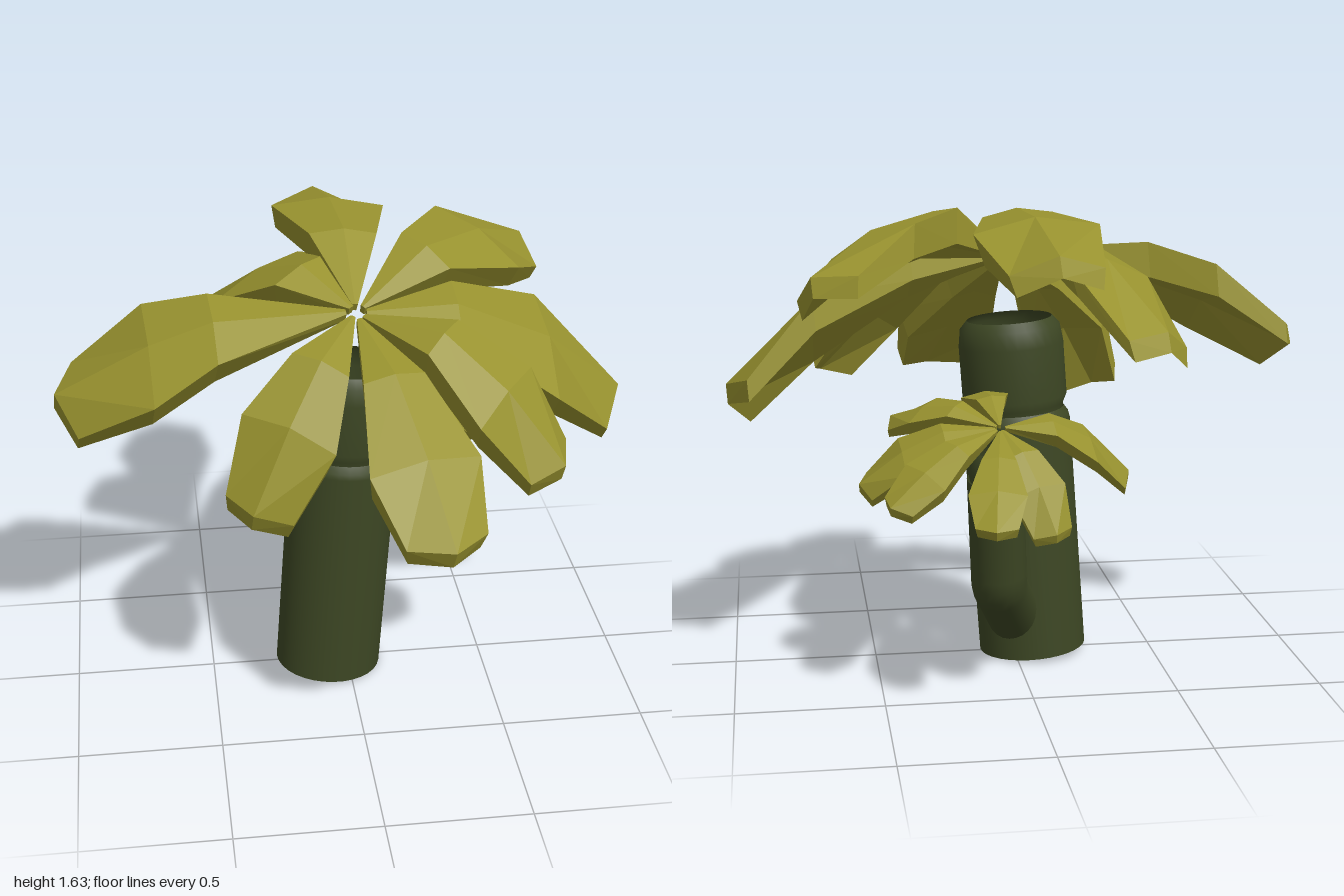
import * as THREE from 'three';

const leafMat = new THREE.MeshStandardMaterial({ color: 0x98922f, flatShading: true });
leafMat.name = 'olive leaf';
const barkMat = new THREE.MeshStandardMaterial({ color: 0x3d4724, side: THREE.DoubleSide });
barkMat.name = 'dark green bark';

// A thick ridged leaf running along +x, with chevron cross-sections and a blunt pointed tip
function leafGeometry(length, tipY, width, arch, bend) {
  // Stations: [share of length, share of width, lift, thickness, underside width, how far the edges lag]
  const stations = [
    [0.035, 0.05, 0, 0.03, 0.8, 0],
    [bend, 0.2 + bend, arch, 0.12, 0.8, 0],
    [0.69, 1, arch * 0.7, 0.11, 0.88, 0],
    [1, 0.73, 0, 0.07, 0.9, 0.07],
  ];
  const pos = [], index = [], n = 6, last = (stations.length - 1) * n;
  for (const [t, ws, lift, th, under, lag] of stations) {
    const x = t * length, y = tipY * t * t + lift, w = ws * width, d = w * 0.2, u = w * under;
    const ring = [[y, 0], [y - d, w], [y - d - th, u], [y - th, 0], [y - d - th, -u], [y - d, -w]];
    for (const [py, pz] of ring) pos.push(pz === 0 ? x : x - lag * length, py, pz);
  }
  for (let i = 0; i < last; i += n) {
    for (let j = 0; j < n; j++) {
      const a = i + j, b = i + (j + 1) % n;
      index.push(a, b, b + n, a, b + n, a + n);
    }
  }
  // End caps fan out from the underside crease
  for (let k = 1; k < n - 1; k++) {
    const p = (3 + k) % n, q = (4 + k) % n;
    index.push(3, q, p, last + 3, last + p, last + q);
  }
  const g = new THREE.BufferGeometry();
  g.setAttribute('position', new THREE.Float32BufferAttribute(pos, 3));
  g.setIndex(index);
  g.computeVertexNormals();
  return g;
}

// Leaves around each crown: [azimuth in degrees, length, tip height, half width, arch, bend]
const largeLeaves = [
  [0, 1.01, -0.385, 0.245, 0.08, 0.34],
  [39, 0.85, -0.17, 0.17, 0.14, 0.38],
  [77, 0.96, -0.09, 0.19, 0.08, 0.36],
  [121, 0.72, -0.31, 0.17, 0.08, 0.4],
  [177, 1.0, -0.36, 0.235, 0.055, 0.48],
  [232, 0.67, -0.48, 0.2, 0.08, 0.4],
  [269, 0.93, -0.31, 0.205, 0.08, 0.38],
  [320, 0.93, -0.21, 0.2, 0.12, 0.36],
];
const smallLeaves = [
  [54, 0.88, -0.32, 0.2, 0.08, 0.4],
  [81, 1.07, -0.06, 0.2, 0.08, 0.4],
  [126, 1.03, -0.14, 0.2, 0.08, 0.4],
  [159, 1.02, -0.35, 0.22, 0.08, 0.4],
  [202, 0.96, -0.27, 0.18, 0.08, 0.4],
  [249, 0.9, -0.38, 0.18, 0.08, 0.4],
  [338, 0.95, -0.54, 0.23, 0.08, 0.4],
];

// A crown tipped forward
function makeCrown(name, leaves) {
  const crown = new THREE.Group();
  crown.name = name;
  const tilted = new THREE.Group();
  tilted.name = 'leaves';
  tilted.rotation.set(0.42, 0, -0.075);
  for (const [deg, ...shape] of leaves) {
    const leaf = new THREE.Mesh(leafGeometry(...shape), leafMat);
    leaf.name = 'leaf';
    leaf.rotation.y = -THREE.MathUtils.degToRad(deg);
    tilted.add(leaf);
  }
  crown.add(tilted);
  return crown;
}

function lathe(name, profile) {
  const pts = profile.map(([r, y]) => new THREE.Vector2(r, y));
  const mesh = new THREE.Mesh(new THREE.LatheGeometry(pts, 32), barkMat);
  mesh.name = name;
  return mesh;
}

export function createModel() {
  const model = new THREE.Group();
  model.name = 'palm';

  // Leaning, slightly oval trunk and the neck above its groove
  const stem = new THREE.Group();
  stem.name = 'stem';
  stem.position.set(-0.073, 0.014, 0.012);
  stem.rotation.z = -0.07;
  stem.scale.x = 1.07;
  stem.add(
    lathe('trunk', [[0.179, 0], [0.179, 0.84], [0.175, 0.86], [0.16, 0.885]]),
    lathe('neck', [[0.155, 0.87], [0.16, 0.9], [0.173, 0.93], [0.173, 1.12], [0.165, 1.18], [0.14, 1.21]]),
  );
  model.add(stem);

  // Bent side branch
  const path = new THREE.CurvePath();
  const p = [[0.0, 0.14, -0.06], [0.08, 0.32, -0.26], [0.09, 0.38, -0.295], [0.11, 0.74, -0.36]]
    .map((v) => new THREE.Vector3(...v));
  path.add(new THREE.LineCurve3(p[0], p[1]));
  path.add(new THREE.QuadraticBezierCurve3(p[1], new THREE.Vector3(0.09, 0.345, -0.288), p[2]));
  path.add(new THREE.LineCurve3(p[2], p[3]));
  const branch = new THREE.Mesh(new THREE.TubeGeometry(path, 30, 0.096, 24), barkMat);
  branch.name = 'branch';
  model.add(branch);

  const branchNeck = lathe('branchNeck', [[0.085, 0], [0.09, 0.02], [0.09, 0.08], [0.07, 0.11]]);
  branchNeck.position.set(0.11, 0.73, -0.36);
  branchNeck.rotation.x = -0.17;
  model.add(branchNeck);

  // Large crown, and a smaller one turned to the back
  const crown = makeCrown('crown', largeLeaves);
  crown.position.set(0.02, 1.45, 0.1);
  const smallCrown = makeCrown('smallCrown', smallLeaves);
  smallCrown.position.set(0.1, 0.925, -0.42);
  smallCrown.rotation.y = Math.PI - 0.33;
  smallCrown.scale.setScalar(0.47);
  model.add(crown, smallCrown);

  return model;
}
